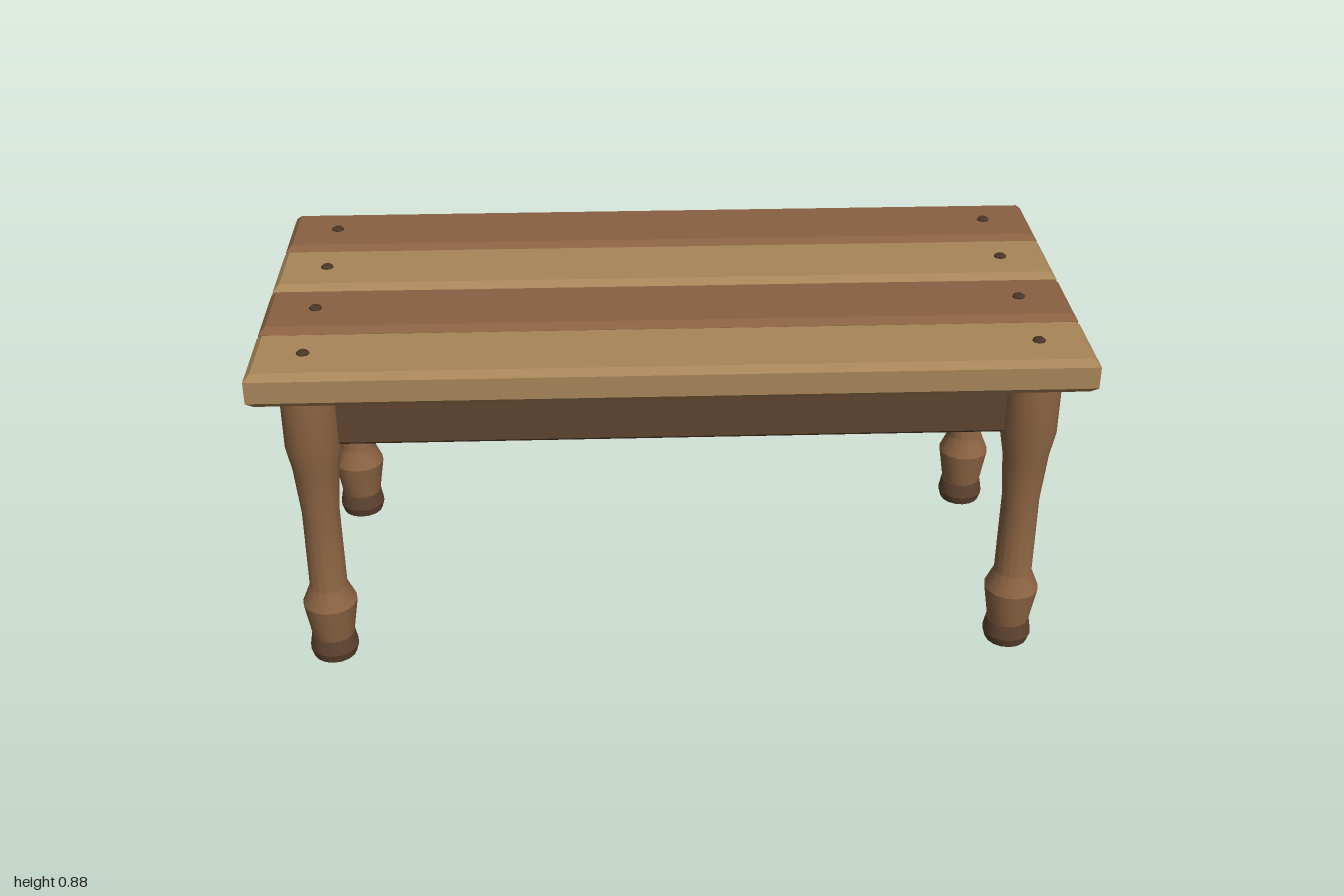
import * as THREE from 'three';
import { toCreasedNormals } from 'three/addons/utils/BufferGeometryUtils.js';

const material = (name, color) => new THREE.MeshStandardMaterial({ name, color });

// Box with chamfered top and bottom rims and square vertical corners
function plankGeometry(w, h, d, bevel) {
  const x = w / 2 - bevel, z = d / 2 - bevel;
  const shape = new THREE.Shape();
  shape.moveTo(-x, -z).lineTo(x, -z).lineTo(x, z).lineTo(-x, z).closePath();
  const geo = new THREE.ExtrudeGeometry(shape, {
    depth: h - 2 * bevel, bevelEnabled: true, bevelThickness: bevel, bevelSize: bevel, bevelSegments: 1,
  });
  return geo.translate(0, 0, bevel - h / 2).rotateX(-Math.PI / 2);
}

// Turned part from [radius, height] pairs, bottom to top
function turned(profile, sides = 16) {
  const points = profile.map(([r, y]) => new THREE.Vector2(r, y));
  return toCreasedNormals(new THREE.LatheGeometry(points, sides), 0.45);
}

export function createModel() {
  const model = new THREE.Group();
  model.name = 'table';
  const lightWood = material('light wood', 0xa88659);
  const warmWood = material('warm wood', 0x8a6142);
  const legWood = material('leg wood', 0x8d6544);
  const darkWood = material('dark wood', 0x5e4330);
  const boltMetal = material('dark bolt', 0x4a3527);

  const add = (name, geo, mat, x, y, z) => {
    const mesh = new THREE.Mesh(geo, mat);
    mesh.name = name;
    mesh.position.set(x, y, z);
    model.add(mesh);
  };

  // Four top planks in alternating wood, each with a bolt at both ends
  const plank = plankGeometry(2, 0.088, 0.225, 0.016);
  const bolt = turned([[0.016, -0.004], [0.016, 0.003], [0.01, 0.008], [0, 0.009]], 8);
  [0.363, 0.121, -0.121, -0.363].forEach((z, i) => {
    add('topPlank', plank, i % 2 ? warmWood : lightWood, 0, 0.828, z);
    for (const x of [-0.874, 0.874]) add('bolt', bolt, boltMetal, x, 0.872, z);
  });

  // Turned legs with dark feet
  const leg = turned([
    [0, 0.06], [0.053, 0.06], [0.069, 0.16], [0.048, 0.21], [0.047, 0.43],
    [0.058, 0.56], [0.07, 0.625], [0.07, 0.785], [0, 0.785],
  ]);
  const foot = turned([[0, 0], [0.055, 0], [0.062, 0.024], [0.055, 0.062], [0, 0.062]]);
  for (const x of [-0.874, 0.874]) {
    for (const z of [-0.35, 0.35]) {
      add('leg', leg, legWood, x, 0, z);
      add('foot', foot, darkWood, x, 0, z);
    }
  }

  // Apron rails joining the legs
  const longRail = plankGeometry(1.7, 0.16, 0.048, 0.008);
  const shortRail = plankGeometry(0.048, 0.16, 0.66, 0.008);
  for (const s of [-1, 1]) {
    add('longApron', longRail, darkWood, 0, 0.706, s * 0.35);
    add('endApron', shortRail, darkWood, s * 0.874, 0.706, 0);
  }
  return model;
}
